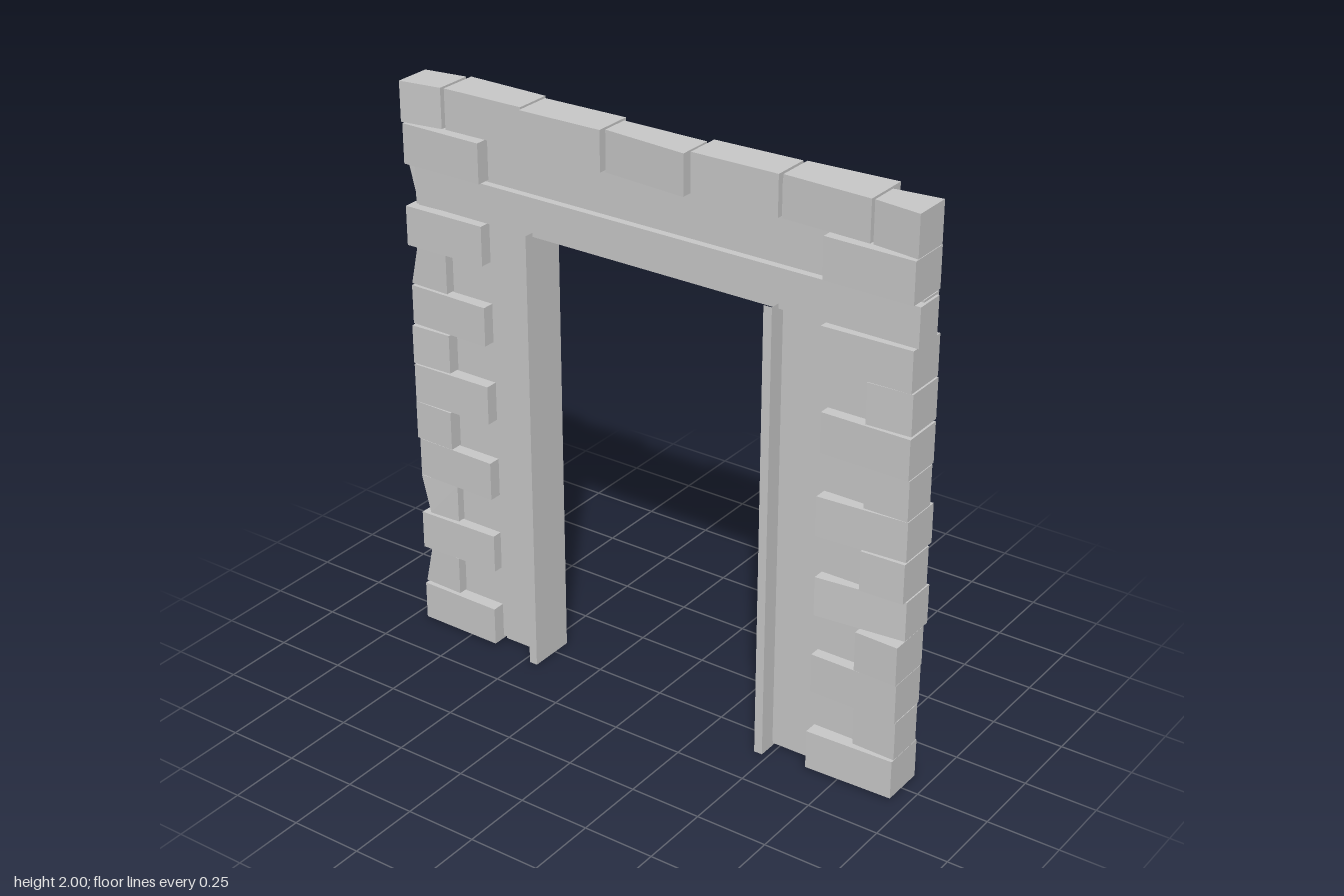
import * as THREE from 'three';

const ROW = 0.1425;   // course height
const LONG = 0.31, SHORT = 0.153;

export function createModel() {
  const model = new THREE.Group();
  model.name = 'stoneDoorway';
  const stone = new THREE.MeshStandardMaterial({ color: 0xc9c9c9, flatShading: true });
  stone.name = 'greyStone';

  let seed = 7;
  const jitter = (a) => {
    seed = (seed * 16807) % 2147483647;
    return (seed / 2147483647 * 2 - 1) * a;
  };
  const add = (parent, name, geometry) => {
    const mesh = new THREE.Mesh(geometry, stone);
    mesh.name = name;
    parent.add(mesh);
    return mesh;
  };
  const group = (name) => {
    const g = new THREE.Group();
    g.name = name;
    model.add(g);
    return g;
  };
  // uneven block: back and front depths are given at its x0 and x1 ends;
  // lean cuts back the x0 end at the top (positive) or bottom (negative)
  const brick = (parent, name, row, [x0, x1], back, front, lean = 0) => {
    const geometry = new THREE.BoxGeometry(1, 0.138, 1);
    const p = geometry.attributes.position;
    for (let i = 0; i < p.count; i++) {
      const end = p.getX(i) < 0 ? 0 : 1;
      const cut = p.getY(i) * lean > 0 ? Math.abs(lean) : 0;
      p.setX(i, end ? x1 : x0 + cut);
      p.setZ(i, (p.getZ(i) < 0 ? back : front)[end]);
    }
    geometry.computeVertexNormals();
    add(parent, name, geometry).position.y = 0.076 + row * ROW;
  };

  // plastered wall with the door opening
  const wall = new THREE.Shape([
    [-0.93, 0.018], [-0.46, 0.018], [-0.46, 1.585], [0.46, 1.585],
    [0.46, 0.018], [0.93, 0.018], [0.93, 1.975], [-0.93, 1.975],
  ].map(([x, y]) => new THREE.Vector2(x, y)));
  add(model, 'plasterWall', new THREE.ExtrudeGeometry(wall, { depth: 0.07, bevelEnabled: false }))
    .position.z = -0.03;

  // corner stones: [back, front, skew, lean] for each course, bottom to top
  const corners = {
    right: [
      [-0.07, 0.084, -0.03], [-0.065, 0.07, 0.03], [-0.07, 0.08, 0.01], [-0.072, 0.088, 0.04],
      [-0.07, 0.066, -0.1], [-0.068, 0.075, -0.03], [-0.077, 0.075, -0.06], [-0.062, 0.072, 0],
      [-0.068, 0.08, 0.01], [-0.07, 0.075, -0.04], [-0.07, 0.083, -0.02], [-0.055, 0.03, 0.03],
      [-0.06, 0.09, 0.02],
    ],
    left: [
      [-0.07, 0.085, 0.01], [-0.07, 0.073, 0.03, 0.03], [-0.068, 0.08, -0.02],
      [-0.07, 0.073, -0.04, -0.035], [-0.07, 0.082, 0.02], [-0.065, 0.085, 0.03],
      [-0.066, 0.086, -0.01], [-0.065, 0.085, -0.03], [-0.07, 0.08, 0.02],
      [-0.07, 0.073, 0.03, 0.03], [-0.07, 0.085, -0.01], [-0.07, 0.06, -0.04, -0.035],
      [-0.065, 0.088, 0.01],
    ],
  };
  for (const [side, s] of [['right', 1], ['left', -1]]) {
    const quoins = group(side + 'CornerStones');
    const inner = group(side + 'InnerStones');
    corners[side].forEach(([back, front, skew, lean], row) => {
      const length = row % 2 ? SHORT : LONG;
      const outer = 0.95 + jitter(0.005);
      const split = outer - length;
      const span = (a, b) => [s * a, s * b].sort((m, n) => m - n);
      const d = skew * length / 2;
      brick(quoins, 'cornerStone', row, span(split, outer), [back - d, back + d],
        [front - d, front + d], lean);
      // the block that completes each course next to the opening
      if (row < 12) {
        const b = -0.066 + jitter(0.009), e = jitter(0.007);
        brick(inner, 'innerStone', row, span(row < 11 ? 0.475 : 0.56, split - 0.009),
          [b - e, b + e], [0.035, 0.035]);
      }
    });
  }

  // course above the lintel, showing at the back
  const upper = group('upperCourse');
  for (let i = 0; i < 4; i++) {
    const x = -0.636 + i * 0.318, b = -0.062 + jitter(0.008), e = jitter(0.006);
    brick(upper, 'upperStone', 12, [x + 0.004, x + 0.314], [b - e, b + e], [0.035, 0.035]);
  }

  // top course: ends, back depths, front depths
  const top = group('topCourse');
  [
    [[-0.953, -0.803], [-0.042, -0.065], [0.088, 0.065]],
    [[-0.79, -0.488], [-0.075, -0.07], [0.062, 0.058]],
    [[-0.476, -0.17], [-0.053, -0.06], [0.08, 0.075]],
    [[-0.158, 0.148], [-0.035, -0.035], [0.062, 0.088]],
    [[0.157, 0.466], [-0.06, -0.07], [0.064, 0.062]],
    [[0.477, 0.783], [-0.075, -0.092], [0.055, 0.068]],
    [[0.793, 0.952], [-0.032, -0.05], [0.067, 0.086]],
  ].forEach(([ends, back, front]) => brick(top, 'topStone', 13, ends, back, front));

  // long beam across the front, and a shorter lintel standing proud at the back
  const beam = add(model, 'frontBeam', new THREE.BoxGeometry(1.88, 0.132, 0.105));
  beam.position.set(0.017, 1.642, 0.013);
  beam.rotation.z = -0.003;
  add(model, 'backLintel', new THREE.BoxGeometry(1.15, 0.132, 0.08)).position.set(0, 1.646, -0.062);

  // door jamb boards, open at both ends
  for (const [name, x] of [['leftJamb', 0.463], ['rightJamb', -0.46]]) {
    const jamb = new THREE.CylinderGeometry(Math.SQRT1_2, Math.SQRT1_2, 1, 4, 1, true, Math.PI / 4);
    add(model, name, jamb.scale(0.03, 1.592, 0.17)).position.set(x, 0.796, 0.017);
  }
  return model;
}
